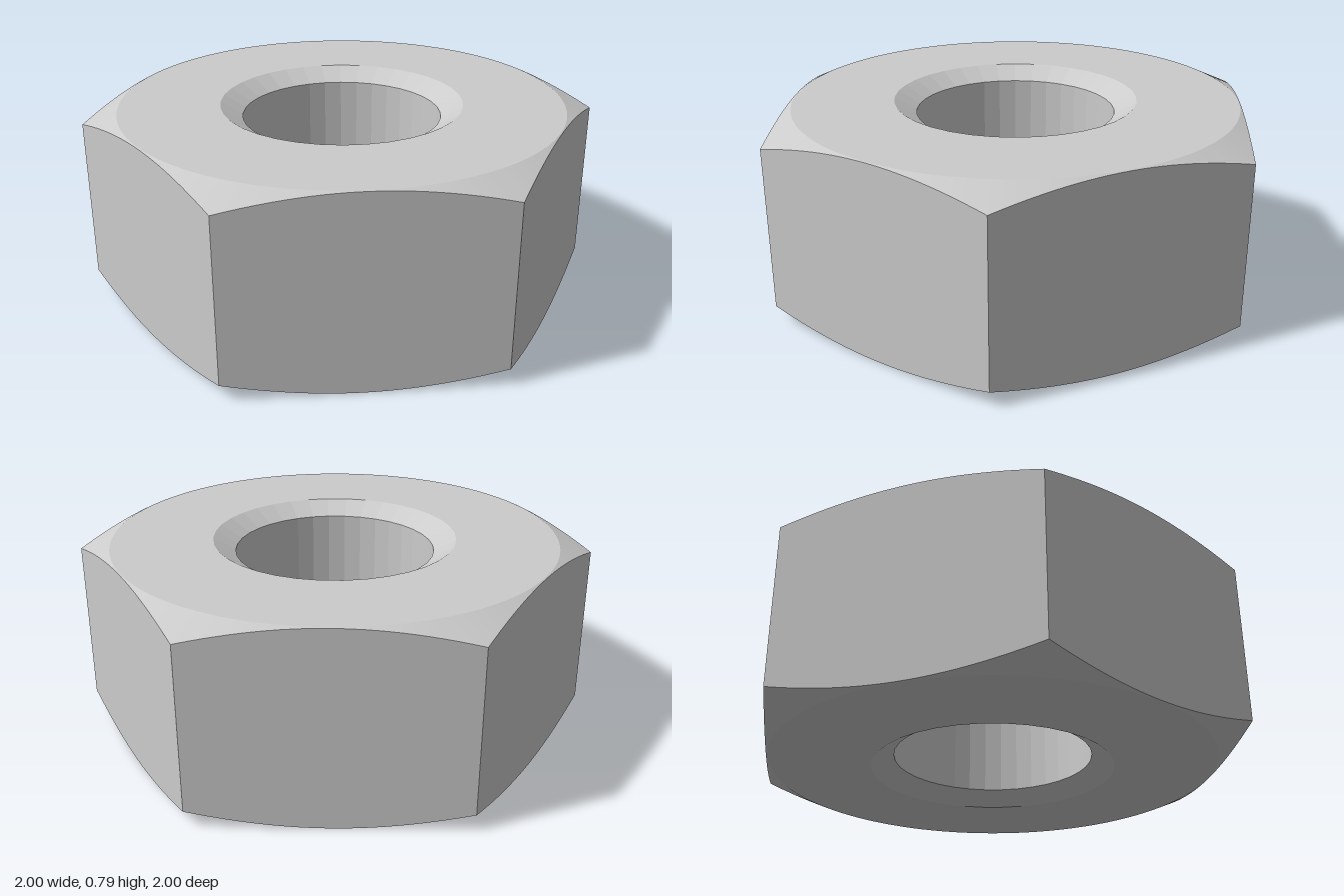
import * as THREE from 'three';

const HEIGHT = 0.785;
const SEGMENTS = 144;
const HEX_TURN = -Math.PI / 12; // direction of the first corner
const APOTHEM = 0.8966;
const FACE_RADIUS = 0.892;
const CHAMFER_SLOPE = 0.455;
const BORE_RADIUS = 0.4, SINK_RADIUS = 0.488, SINK_DEPTH = 0.052;
const BORE_SIDES = 36;

// Distance to the edge of a regular polygon, relative to its apothem
function polygon(angle, sides, turn) {
  const step = (Math.PI * 2) / sides;
  const local = (((angle - turn) % step) + step) % step;
  return 1 / Math.cos(local - step / 2);
}

// Each ring returns [radius, y] at an angle
const hex = (a) => APOTHEM * polygon(a, 6, HEX_TURN);
const drop = (a) => CHAMFER_SLOPE * (hex(a) - FACE_RADIUS);
const round = (a, r) => r * Math.cos(Math.PI / BORE_SIDES) * polygon(a, BORE_SIDES, 0);

const rings = {
  outerLow: (a) => [hex(a), drop(a)],
  outerHigh: (a) => [hex(a), HEIGHT - drop(a)],
  faceHigh: () => [FACE_RADIUS, HEIGHT],
  sinkHigh: (a) => [round(a, SINK_RADIUS), HEIGHT],
  boreHigh: (a) => [round(a, BORE_RADIUS), HEIGHT - SINK_DEPTH],
  boreLow: (a) => [round(a, BORE_RADIUS), SINK_DEPTH],
  sinkLow: (a) => [round(a, SINK_RADIUS), 0],
  faceLow: () => [FACE_RADIUS, 0],
};

// Band of faces joining two rings
function band(from, to) {
  const positions = [];
  const point = (ring, i) => {
    const a = ((i % SEGMENTS) / SEGMENTS) * Math.PI * 2;
    const [r, y] = ring(a);
    return [r * Math.cos(a), y, r * Math.sin(a)];
  };
  for (let i = 0; i < SEGMENTS; i++) {
    const a = point(from, i), b = point(to, i);
    const c = point(to, i + 1), d = point(from, i + 1);
    positions.push(...a, ...b, ...d, ...b, ...c, ...d);
  }
  const geometry = new THREE.BufferGeometry();
  geometry.setAttribute('position', new THREE.Float32BufferAttribute(positions, 3));
  geometry.computeVertexNormals();
  return geometry;
}

export function createModel() {
  const group = new THREE.Group();
  group.name = 'hexNut';
  const material = new THREE.MeshStandardMaterial({ color: 0xcccccc, flatShading: true });

  // Surfaces in order around the closed cross-section
  const parts = [
    ['hexSides', 'outerLow', 'outerHigh'],
    ['topChamfer', 'outerHigh', 'faceHigh'],
    ['topFace', 'faceHigh', 'sinkHigh'],
    ['topCountersink', 'sinkHigh', 'boreHigh'],
    ['bore', 'boreHigh', 'boreLow'],
    ['bottomCountersink', 'boreLow', 'sinkLow'],
    ['bottomFace', 'sinkLow', 'faceLow'],
    ['bottomChamfer', 'faceLow', 'outerLow'],
  ];
  for (const [name, from, to] of parts) {
    const mesh = new THREE.Mesh(band(rings[from], rings[to]), material);
    mesh.name = name;
    group.add(mesh);
  }
  return group;
}
